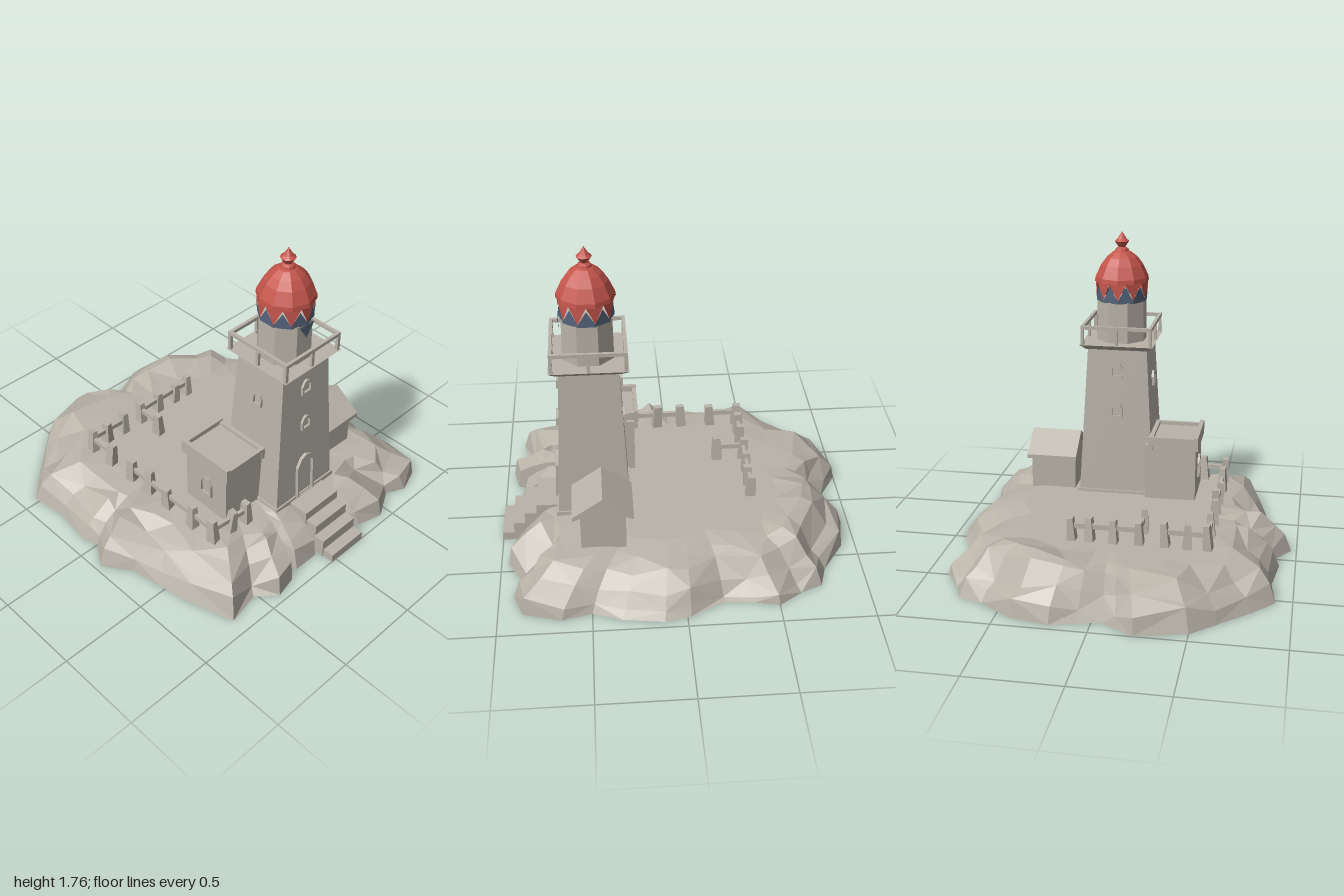
import * as THREE from 'three';

const mat = (name, color, side = THREE.FrontSide) => {
  const m = new THREE.MeshStandardMaterial({ color, side, flatShading: true });
  m.name = name;
  return m;
};

export function createModel() {
  const stone = mat('stone', 0xb9b3a8);
  const red = mat('red', 0xc4554b, THREE.DoubleSide);
  const blue = mat('slateBlue', 0x58677e, THREE.DoubleSide);
  const root = new THREE.Group();
  root.name = 'lighthouseIsland';

  let seed = 7;
  const rand = () => (seed = (seed * 16807) % 2147483647) / 2147483647;

  const group = (name, parent = root) => {
    const g = new THREE.Group();
    g.name = name;
    parent.add(g);
    return g;
  };
  const add = (name, geo, m = stone, parent = root) => {
    const mesh = new THREE.Mesh(geo, m);
    mesh.name = name;
    parent.add(mesh);
    return mesh;
  };
  // box given by its limits on each axis
  const box = (name, x0, x1, y0, y1, z0, z1, parent = root) => {
    const g = new THREE.BoxGeometry(x1 - x0, y1 - y0, z1 - z0);
    g.translate((x0 + x1) / 2, (y0 + y1) / 2, (z0 + z1) / 2);
    return add(name, g, stone, parent);
  };
  // four-sided frustum with half widths at the bottom and top
  const frustum = (bx, bz, tx, tz, y0, y1) => {
    const g = new THREE.BoxGeometry(2, y1 - y0, 2);
    const p = g.attributes.position;
    for (let i = 0; i < p.count; i++) {
      const top = p.getY(i) > 0;
      p.setX(i, p.getX(i) * (top ? tx : bx));
      p.setZ(i, p.getZ(i) * (top ? tz : bz));
    }
    return g.translate(0, (y0 + y1) / 2, 0);
  };
  const triangles = (pts) => {
    const g = new THREE.BufferGeometry();
    g.setAttribute('position', new THREE.Float32BufferAttribute(pts, 3));
    g.computeVertexNormals();
    return g;
  };

  // rocky island: shoreline loop shrunk into rising, roughened rings
  const shore = [
    [-0.23, -1], [-0.13, -0.94], [-0.05, -0.89], [0.07, -0.92], [0.21, -0.96], [0.42, -0.92], [0.61, -0.79],
    [0.74, -0.75], [0.79, -0.63], [0.88, -0.5], [0.85, -0.37], [0.83, -0.21], [0.93, -0.02], [0.96, 0.12],
    [0.93, 0.34], [0.87, 0.5], [0.91, 0.66], [0.85, 0.87], [0.71, 0.92], [0.6, 0.87], [0.44, 0.96],
    [0.29, 0.92], [0.2, 0.84], [-0.05, 0.84], [-0.06, 0.9], [-0.21, 0.9], [-0.24, 0.81], [-0.28, 0.93],
    [-0.41, 0.96], [-0.52, 0.87], [-0.71, 0.91], [-0.79, 0.66], [-0.83, 0.46], [-0.86, 0.29], [-0.97, 0.13],
    [-0.88, 0], [-0.91, -0.08], [-0.88, -0.32], [-0.91, -0.53], [-0.79, -0.66], [-0.63, -0.81], [-0.5, -0.93],
  ];
  const n = shore.length;
  const radius = shore.map(([x, z]) => Math.hypot(x, z));
  // each ring: scale, height, loss of height on the gentle east slope, roughness inward and upward
  const rings = [[1, 0, 0, 0, 0], [0.985, 0.085, 0.45, 0.03, 0.05], [0.93, 0.15, 0.25, 0.05, 0.05],
    [0.85, 0.205, 0.12, 0.05, 0.04], [0.76, 0.228, 0.06, 0.04, 0.016], [0.6, 0.234, 0, 0, 0],
  ].map(([s, y, east, js, jy]) => shore.map(([x, z], i) => {
    // headlands stand higher and coves cut lower, which reads as separate boulders
    const head = THREE.MathUtils.clamp(radius[i] - (radius[(i + 1) % n] + radius[(i + n - 1) % n]) / 2, -0.05, 0.05);
    const k = s - js * rand();
    const bump = s > 0.7 && s < 0.9 ? 0.065 * Math.exp(-((x - 0.5) ** 2 + (z + 0.85) ** 2) / 0.1) : 0;
    const slope = 1 - east * Math.max(0, x / radius[i]);
    return [x * k, y * slope + bump + jy * (rand() - 0.5 + head * 10), z * k];
  }));
  const island = [];
  for (let i = 0; i < n; i++) {
    const j = (i + 1) % n;
    for (let r = 0; r + 1 < rings.length; r++) {
      const a = rings[r], b = rings[r + 1];
      if ((i + r) % 2) island.push(...a[i], ...b[i], ...a[j], ...a[j], ...b[i], ...b[j]);
      else island.push(...a[i], ...b[j], ...a[j], ...a[i], ...b[i], ...b[j]);
    }
    const top = rings[rings.length - 1];
    island.push(...top[i], 0, 0.23, 0, ...top[j]);
    island.push(...rings[0][i], ...rings[0][j], 0, 0, 0);
  }
  add('rockIsland', triangles(island));

  // stairs down to the water
  const stairs = group('stairs');
  [[0.66, 0.8, 0.235], [0.8, 0.87, 0.18], [0.87, 0.935, 0.115], [0.935, 1, 0.05]].forEach(([z0, z1, h], i) =>
    box('step', -0.04 + 0.008 * (i % 2), 0.22, 0, h, z0, z1, stairs));

  // tower
  const tower = group('tower');
  tower.position.set(0.08, 0, 0.47);
  add('plinth', frustum(0.235, 0.215, 0.23, 0.21, 0.15, 0.25), stone, tower);
  add('towerShaft', frustum(0.223, 0.203, 0.172, 0.16, 0.2, 1.11), stone, tower);

  // arched frames for the door and windows, origin at the sill
  const archPath = (p, w, h, y0) => {
    p.moveTo(-w, y0);
    p.lineTo(w, y0);
    p.lineTo(w, h - w);
    p.lineTo(w * 0.55, h - w * 0.25);
    p.lineTo(0, h);
    p.lineTo(-w * 0.55, h - w * 0.25);
    p.lineTo(-w, h - w);
    p.closePath();
    return p;
  };
  const arch = (w, h, t, depth, sill = 0) => {
    const s = archPath(new THREE.Shape(), w, h, 0);
    s.holes.push(archPath(new THREE.Path(), w - t, h - t, sill || 0.002));
    return new THREE.ExtrudeGeometry(s, { depth, bevelEnabled: false });
  };
  const onWall = (name, geo, turn, y, halfBase, halfTop) => {
    const wall = group(name + 'Side', tower);
    wall.rotation.y = turn * Math.PI / 2;
    const m = add(name, geo, stone, wall);
    m.position.set(0, y, halfBase + (halfTop - halfBase) * (y - 0.2) / 0.91 - 0.012);
    m.rotation.x = -Math.atan((halfBase - halfTop) / 0.91);
  };
  onWall('doorFrame', arch(0.068, 0.28, 0.015, 0.03), 0, 0.24, 0.203, 0.16);
  for (const y of [0.7, 0.94]) {
    for (const turn of [0, 2]) onWall('window', arch(0.036, 0.088, 0.012, 0.026, 0.012), turn, y, 0.203, 0.16);
  }
  onWall('window', arch(0.033, 0.085, 0.011, 0.026, 0.012), 3, 0.86, 0.223, 0.172);

  // gallery deck and railing
  add('galleryDeck', frustum(0.18, 0.175, 0.213, 0.213, 1.105, 1.135), stone, tower);
  const railing = group('galleryRailing', tower);
  for (let k = 0; k < 4; k++) {
    const side = group('railingSide', railing);
    side.rotation.y = k * Math.PI / 2;
    box('topRail', -0.206, 0.206, 1.226, 1.246, 0.188, 0.206, side);
    box('cornerPost', -0.206, -0.188, 1.13, 1.24, 0.188, 0.206, side);
    box('middlePost', -0.009, 0.009, 1.13, 1.24, 0.188, 0.204, side);
  }

  // lantern room
  const room = new THREE.CylinderGeometry(0.146, 0.15, 0.25, 8);
  add('lanternRoom', room.rotateY(Math.PI / 8).translate(0, 1.245, 0), stone, tower);
  add('frontPennant', triangles([-0.055, 1.372, 0.15, 0, 1.29, 0.15, 0.055, 1.372, 0.15]), blue, tower);

  // open ring of red and blue teeth around the light
  const teeth = (count, rBase, rTip, yBase, yTip, shift) => {
    const pts = [];
    const at = (i, r, y) => {
      const a = i / count * Math.PI * 2;
      return [Math.sin(a) * r, y, Math.cos(a) * r];
    };
    for (let i = 0; i < count; i++) {
      const c = i + shift;
      pts.push(...at(c - 0.5, rBase, yBase), ...at(c + 0.5, rBase, yBase), ...at(c, rTip, yTip));
    }
    return triangles(pts);
  };
  add('blueTeeth', teeth(10, 0.148, 0.146, 1.385, 1.46, 0.5), blue, tower);
  add('blueBand', new THREE.CylinderGeometry(0.148, 0.147, 0.02, 10, 1, true).translate(0, 1.377, 0), blue, tower);
  add('redTeeth', teeth(10, 0.154, 0.149, 1.485, 1.385, 0), red, tower);

  // dome and finial
  const profile = [[0.13, 1.478], [0.158, 1.48], [0.155, 1.505], [0.122, 1.575], [0.09, 1.617], [0.052, 1.647],
    [0.04, 1.652], [0.036, 1.665], [0.02, 1.675], [0.042, 1.708], [0.026, 1.722], [0.001, 1.762]];
  add('dome', new THREE.LatheGeometry(profile.map(([x, y]) => new THREE.Vector2(x, y)), 10), red, tower);

  // flat-roofed annex
  const annex = group('annex');
  box('annexWalls', -0.395, -0.1, 0.18, 0.56, 0.225, 0.53, annex);
  box('annexRoof', -0.4, -0.12, 0.545, 0.59, 0.21, 0.54, annex);
  box('parapetFront', -0.405, -0.12, 0.545, 0.61, 0.525, 0.548, annex);
  box('parapetBack', -0.405, -0.12, 0.545, 0.618, 0.202, 0.225, annex);
  box('parapetLeft', -0.145, -0.12, 0.545, 0.608, 0.2, 0.55, annex);
  box('parapetRight', -0.41, -0.385, 0.545, 0.625, 0.2, 0.55, annex);
  const annexWindow = add('annexWindow', arch(0.045, 0.13, 0.014, 0.02, 0.014), stone, annex);
  annexWindow.rotation.y = -Math.PI / 2;
  annexWindow.position.set(-0.388, 0.34, 0.38);

  // gabled cottage, ridge along x
  const cottage = group('cottage');
  const prism = (pts, x0, x1) => {
    const s = new THREE.Shape(pts.map(([z, y]) => new THREE.Vector2(z, y)));
    return new THREE.ExtrudeGeometry(s, { depth: x1 - x0, bevelEnabled: false })
      .rotateY(Math.PI / 2).translate(x0, 0, 0.426);
  };
  add('cottageWalls', prism([[-0.122, 0.16], [0.122, 0.16], [0.122, 0.455], [0, 0.54], [-0.122, 0.455]], 0.335, 0.6),
    stone, cottage);
  add('cottageRoof', prism([[-0.164, 0.42], [-0.12, 0.44], [0, 0.53], [0.12, 0.44], [0.164, 0.42],
    [0.164, 0.444], [0, 0.558], [-0.164, 0.444]], 0.322, 0.618), stone, cottage);

  // fence of leaning posts and rails
  const fence = group('fence');
  const posts = [[-0.54, -0.42], [-0.43, -0.425], [-0.31, -0.42], [-0.17, -0.42], [-0.03, -0.425], [0.1, -0.42],
    [0.2, -0.42], [-0.17, -0.265], [-0.54, -0.26], [-0.54, -0.08], [-0.54, 0.07], [-0.54, 0.22],
    [-0.54, 0.42], [-0.54, 0.58], [-0.42, 0.59], [-0.31, 0.6]];
  for (const [x, z] of posts) {
    const post = add('fencePost', frustum(0.026, 0.03, 0.016, 0.022, -0.03, 0.12 + rand() * 0.02), stone, fence);
    post.position.set(x, 0.24, z);
    post.rotation.set((rand() - 0.5) * 0.16, (rand() - 0.5) * 0.4, (rand() - 0.5) * 0.16);
  }
  const rails = [[-0.54, -0.425, -0.31, -0.42], [-0.17, -0.42, 0.2, -0.42], [-0.17, -0.42, -0.17, -0.265],
    [-0.54, -0.42, -0.54, -0.26], [-0.54, -0.1, -0.54, 0.58], [-0.54, 0.58, -0.31, 0.6]];
  for (const [x0, z0, x1, z1] of rails) {
    const rail = add('fenceRail', new THREE.BoxGeometry(Math.hypot(x1 - x0, z1 - z0), 0.028, 0.02), stone, fence);
    rail.position.set((x0 + x1) / 2, 0.315, (z0 + z1) / 2);
    rail.rotation.y = -Math.atan2(z1 - z0, x1 - x0);
  }
  return root;
}
